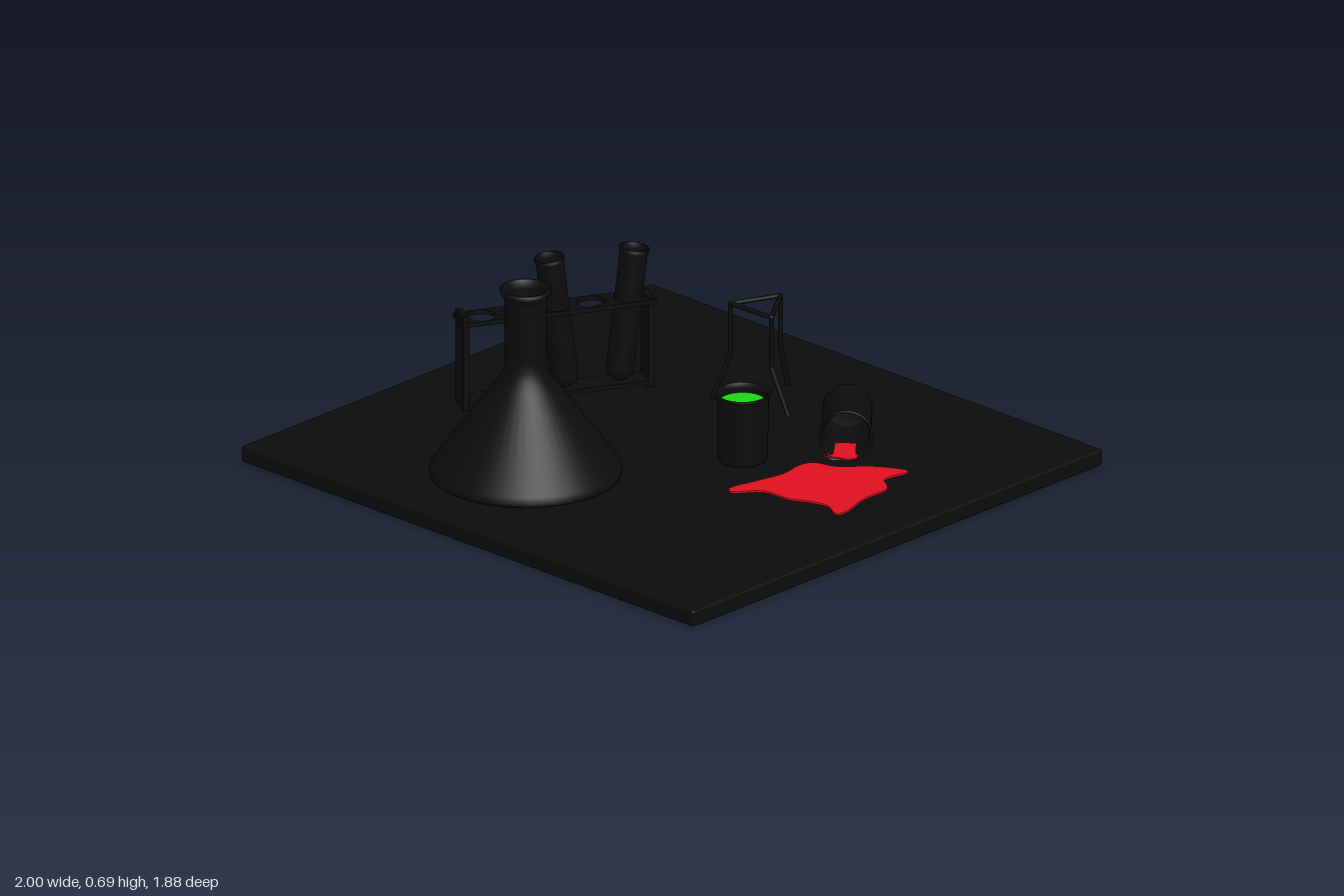
import * as THREE from 'three';
import { RoundedBoxGeometry } from 'three/addons/geometries/RoundedBoxGeometry.js';

const V = (x, y, z) => new THREE.Vector3(x, y, z);
const paint = (color, side = THREE.FrontSide) => new THREE.MeshStandardMaterial({ color, side });
const FLOOR = 0.055;

export function createModel() {
  const model = new THREE.Group();
  const black = paint(0x0c0c0c);
  const glass = paint(0x0c0c0c, THREE.DoubleSide);
  const red = paint(0xe01020, THREE.DoubleSide);

  const add = (parent, name, geometry, material = black, pos = [0, 0, 0]) => {
    const mesh = new THREE.Mesh(geometry, material);
    mesh.name = name;
    mesh.position.set(...pos);
    parent.add(mesh);
    return mesh;
  };
  const group = (name, parent = model) => {
    const g = new THREE.Group();
    g.name = name;
    parent.add(g);
    return g;
  };
  const lathe = (points) => new THREE.LatheGeometry(points.map(([r, y]) => new THREE.Vector2(r, y)), 48);
  // place a group at a base point with its y axis along a direction
  const aim = (g, base, dir) => {
    g.position.copy(base);
    g.quaternion.setFromUnitVectors(V(0, 1, 0), dir.clone().normalize());
  };
  const rod = (parent, name, a, b, r) => {
    const d = b.clone().sub(a);
    const m = add(parent, name, new THREE.CylinderGeometry(r, r, d.length(), 10), black);
    aim(m, a.clone().add(b).multiplyScalar(0.5), d);
  };

  // base slab
  add(model, 'baseBoard', new RoundedBoxGeometry(2, FLOOR, 1.884, 2, 0.008), black, [0, FLOOR / 2, 0]);

  // conical flask, outside up and inside down
  add(model, 'conicalFlask', lathe([
    [0, 0], [0.295, 0], [0.308, 0.006], [0.309, 0.018], [0.3, 0.035], [0.1, 0.31], [0.08, 0.338],
    [0.069, 0.37], [0.067, 0.4], [0.067, 0.585], [0.072, 0.61], [0.082, 0.622], [0.083, 0.635], [0.07, 0.635],
    [0.06, 0.61], [0.058, 0.37], [0.07, 0.335], [0.285, 0.035], [0.27, 0.015], [0, 0.015],
  ]), glass, [-0.19, FLOOR, 0.475]);

  // test tube rack: two drilled shelves' worth of frame between end panels
  const rack = group('tubeRack');
  rack.position.set(-0.575, 0, -0.06);
  rack.rotation.y = 1.085;
  const plate = new THREE.Shape([[-0.325, -0.05], [0.325, -0.05], [0.325, 0.05], [-0.325, 0.05]]
    .map(([x, y]) => new THREE.Vector2(x, y)));
  for (let i = -2; i <= 2; i++) {
    plate.holes.push(new THREE.Path().absarc(i * 0.123, 0, 0.047, 0, Math.PI * 2, true));
  }
  const shelf = add(rack, 'rackTopShelf',
    new THREE.ExtrudeGeometry(plate, { depth: 0.016, bevelEnabled: false, curveSegments: 20 }), black, [0, 0.344, 0]);
  shelf.rotation.x = -Math.PI / 2;
  add(rack, 'rackBottomShelf', new THREE.BoxGeometry(0.61, 0.014, 0.085), black, [0, 0.073, 0]);
  for (const [x, top] of [[-0.31, 0.378], [0.31, 0.365]]) {
    add(rack, 'rackEndPanel', new THREE.BoxGeometry(0.02, top - FLOOR, 0.08), black, [x, (top + FLOOR) / 2, 0]);
  }

  // leaning test tubes with liquid
  const tube = (base, top, color) => {
    const g = group('testTube');
    const d = top.clone().sub(base);
    const h = d.length();
    aim(g, base, d);
    add(g, 'tubeGlass', lathe([
      [0, 0], [0.022, 0.005], [0.038, 0.018], [0.045, 0.042], [0.045, h - 0.025], [0.049, h - 0.012],
      [0.049, h], [0.043, h], [0.041, h - 0.02], [0.041, 0.042], [0.03, 0.018], [0, 0.006],
    ]), glass);
    add(g, 'tubeLiquid', new THREE.CylinderGeometry(0.0405, 0.0405, h - 0.16, 32), paint(color), [0, (h - 0.16) / 2 + 0.04, 0]);
  };
  tube(V(-0.56, 0.08, -0.095), V(-0.588, 0.528, -0.047), 0xe0a810);
  tube(V(-0.475, 0.08, -0.248), V(-0.452, 0.528, -0.297), 0x2a78e8);

  // beakers: thin walls, rounded foot, flared lip with a small pouring spout
  const beaker = (name, h, r, spoutAngle) => {
    const g = group(name);
    const geo = lathe([
      [0, 0], [r - 0.015, 0], [r - 0.004, 0.005], [r, 0.016], [r, h - 0.018], [r + 0.007, h - 0.005],
      [r + 0.007, h], [r, h], [r - 0.006, h - 0.015], [r - 0.006, 0.016], [r - 0.015, 0.008], [0, 0.008],
    ]);
    const p = geo.attributes.position;
    for (let i = 0; i < p.count; i++) {
      const x = p.getX(i), z = p.getZ(i);
      const lift = Math.max(0, (p.getY(i) - h + 0.03) / 0.03);
      const near = Math.cos(Math.atan2(z, x) - spoutAngle);
      const k = 1 + 0.16 * lift * Math.max(0, (near - 0.94) / 0.06);
      p.setX(i, x * k);
      p.setZ(i, z * k);
    }
    geo.computeVertexNormals();
    add(g, 'beakerGlass', geo, glass);
    return g;
  };
  const upright = beaker('uprightBeaker', 0.233, 0.081, -1.05);
  upright.position.set(0.235, FLOOR, -0.08);
  add(upright, 'greenLiquid', new THREE.CylinderGeometry(0.0745, 0.0745, 0.19, 40), paint(0x18d810), [0, 0.107, 0]);

  const fallen = beaker('fallenBeaker', 0.26, 0.08, 1.4);
  aim(fallen, V(0.3, FLOOR + 0.084, -0.495), V(0.68, 0, 0.73));

  // spilled liquid: tongue from the beaker's mouth and a ragged puddle
  const flat = (name, pts, y, depth) => {
    const shape = new THREE.Shape();
    const v = pts.map(([x, z]) => new THREE.Vector2(x, -z));
    shape.setFromPoints(new THREE.CatmullRomCurve3(v.map((q) => V(q.x, q.y, 0)), true, 'centripetal')
      .getPoints(90).slice(0, -1).map((q) => new THREE.Vector2(q.x, q.y)));
    const m = add(model, name, new THREE.ExtrudeGeometry(shape, { depth, bevelEnabled: false }), red, [0, y, 0]);
    m.rotation.x = -Math.PI / 2;
  };
  flat('spilledPuddle', [
    [0.69, -0.37], [0.68, -0.27], [0.74, -0.22], [0.745, -0.11], [0.78, 0.015], [0.77, 0.045], [0.7, 0.015],
    [0.64, 0.03], [0.57, 0.06], [0.47, 0.07], [0.4, 0.145], [0.378, 0.13], [0.395, 0.03], [0.417, -0.08],
    [0.405, -0.165], [0.42, -0.21], [0.5, -0.24], [0.58, -0.32],
  ], FLOOR, 0.006);
  flat('spillTongue', [
    [0.38, -0.36], [0.43, -0.4], [0.48, -0.35], [0.51, -0.32], [0.5, -0.29], [0.47, -0.28], [0.42, -0.26], [0.41, -0.31],
  ], FLOOR + 0.012, 0.004);

  // wire tripod: triangular top ring, legs straight down then splayed
  const tripod = group('tripod');
  const tops = [V(-0.08, 0.382, -0.582), V(0.026, 0.382, -0.43), V(-0.15, 0.382, -0.425)];
  const feet = [V(-0.095, FLOOR, -0.63), V(0.092, FLOOR, -0.44), V(-0.19, FLOOR, -0.38)];
  tops.forEach((top, i) => {
    const knee = top.clone().setY(0.21);
    rod(tripod, 'tripodBar', top, tops[(i + 1) % 3], 0.008);
    rod(tripod, 'tripodLeg', top, knee, 0.008);
    rod(tripod, 'tripodFoot', knee, feet[i], 0.008);
    for (const joint of [top, knee]) {
      add(tripod, 'tripodJoint', new THREE.SphereGeometry(0.008, 10, 8), black, joint.toArray());
    }
  });

  return model;
}
